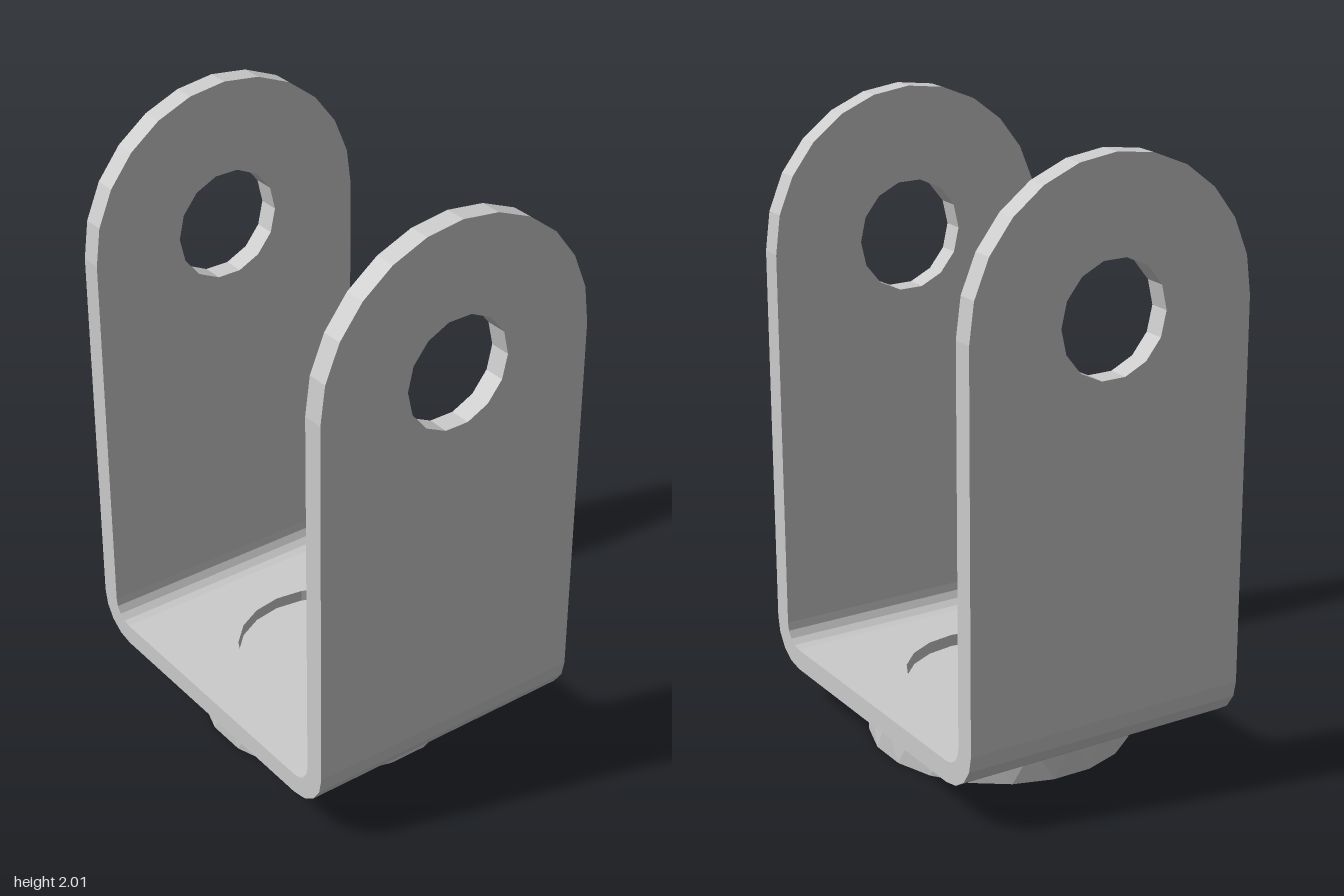
import * as THREE from 'three';

const W = 0.485;                      // half width of the strap
const OUT = 0.61, INN = 0.54;         // outer and inner faces of the legs
const FLOOR = 0.2, UNDER = 0.13;      // top and bottom of the base plate
const BEND_Z = 0.47, BEND_Y = 0.27;   // centre of the bends
const HOLE_Y = 1.52;

const steel = new THREE.MeshStandardMaterial({ color: 0xcccccc, flatShading: true });

// Points along an arc, end points included
function arc(cx, cy, r, from, to, n) {
  return Array.from({ length: n + 1 }, (_, i) => {
    const a = from + (to - from) * i / n;
    return new THREE.Vector2(cx + r * Math.cos(a), cy + r * Math.sin(a));
  });
}

const extrude = (shape, depth) => new THREE.ExtrudeGeometry(shape, { depth, bevelEnabled: false });

function add(parent, name, geometry) {
  const mesh = new THREE.Mesh(geometry, steel);
  mesh.name = name;
  parent.add(mesh);
  return mesh;
}

// Upright leg with rounded top and pivot hole
function legGeometry() {
  const shape = new THREE.Shape([
    new THREE.Vector2(-W, BEND_Y), new THREE.Vector2(W, BEND_Y),
    ...arc(0, HOLE_Y, W, 0, Math.PI, 12),
  ]);
  shape.holes.push(new THREE.Path(arc(0, HOLE_Y, 0.182, 0, -Math.PI * 2, 14).slice(0, 14)));
  return extrude(shape, OUT - INN).translate(0, 0, INN);
}

// Quarter bend between base and leg, swept across the width
function bendGeometry() {
  const shape = new THREE.Shape([
    ...arc(BEND_Z, BEND_Y, OUT - BEND_Z, -Math.PI / 2, 0, 4),
    ...arc(BEND_Z, BEND_Y, INN - BEND_Z, 0, -Math.PI / 2, 4),
  ]);
  return extrude(shape, 2 * W).rotateY(-Math.PI / 2).translate(W, 0, 0);
}

// Flat base with a round opening
function baseGeometry() {
  const shape = new THREE.Shape([
    new THREE.Vector2(-W, -BEND_Z), new THREE.Vector2(W, -BEND_Z),
    new THREE.Vector2(W, BEND_Z), new THREE.Vector2(-W, BEND_Z),
  ]);
  shape.holes.push(new THREE.Path(arc(0, 0, 0.302, 0, -Math.PI * 2, 20).slice(0, 20)));
  return extrude(shape, FLOOR - UNDER).rotateX(Math.PI / 2).translate(0, FLOOR, 0);
}

// Disc whose lower ring is turned half a step, giving triangular facets
function facetedDisc(radius, bottom, top, sides) {
  const geometry = new THREE.CylinderGeometry(radius, radius, top - bottom, sides);
  const p = geometry.attributes.position;
  const v = new THREE.Vector3(), up = new THREE.Vector3(0, 1, 0);
  for (let i = 0; i < p.count; i++) {
    v.fromBufferAttribute(p, i);
    if (v.y < 0) v.applyAxisAngle(up, Math.PI / sides);
    p.setXYZ(i, v.x, v.y, v.z);
  }
  geometry.computeVertexNormals();
  return geometry.translate(0, (top + bottom) / 2, 0);
}

export function createModel() {
  const model = new THREE.Group();
  model.name = 'clevisBracket';

  // Front and back sides are the same part turned round
  for (const [name, turn] of [['front', 0], ['back', Math.PI]]) {
    const side = new THREE.Group();
    side.name = name + 'Side';
    side.rotation.y = turn;
    add(side, name + 'Leg', legGeometry());
    add(side, name + 'Bend', bendGeometry());
    model.add(side);
  }

  add(model, 'basePlate', baseGeometry());
  add(model, 'recessFloor', new THREE.CylinderGeometry(0.302, 0.302, 0.035, 20).translate(0, 0.1425, 0));
  add(model, 'rivetHead', facetedDisc(0.425, 0, 0.12, 20));
  add(model, 'rivetNeck', new THREE.CylinderGeometry(0.41, 0.41, 0.02, 20).translate(0, 0.122, 0));
  return model;
}
